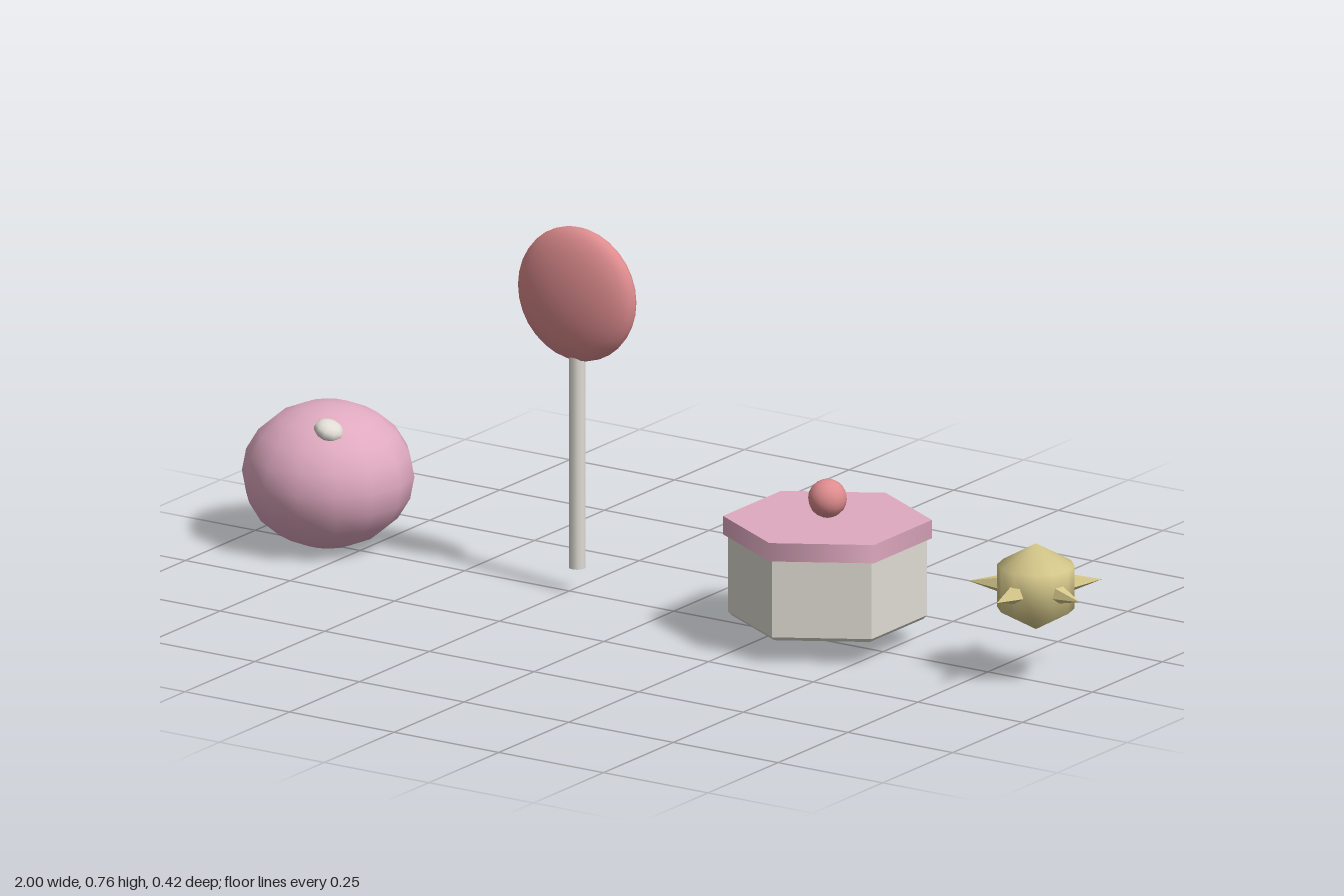
import * as THREE from 'three';

const mat = (name, color, extra = {}) => {
  const m = new THREE.MeshStandardMaterial({ color, ...extra });
  m.name = name;
  return m;
};

export function createModel() {
  const pink = mat('pink', 0xe0aac0);
  const rose = mat('rose', 0xde8c8e);
  const cream = mat('cream', 0xe0dcd4);
  const yellow = mat('yellow', 0xd8ca8c);

  const root = new THREE.Group();
  root.name = 'sweets';

  const group = (name, x) => {
    const g = new THREE.Group();
    g.name = name;
    g.position.x = x;
    root.add(g);
    return g;
  };
  const add = (parent, name, geo, material, x = 0, y = 0, z = 0) => {
    const m = new THREE.Mesh(geo, material);
    m.name = name;
    m.position.set(x, y, z);
    parent.add(m);
    return m;
  };

  // Round gumdrop with a small sugar pearl
  const drop = group('gumdrop', -0.826);
  add(drop, 'gumdropBody', new THREE.SphereGeometry(0.173, 14, 10), pink, 0, 0.15, 0)
    .scale.y = 0.85;
  const pearl = add(drop, 'sugarPearl', new THREE.SphereGeometry(0.031, 10, 8), cream, 0.054, 0.268, 0.078);
  pearl.scale.y = 0.65;
  pearl.rotation.z = -0.4;

  // Lollipop: flattened ball on a stick
  const lolly = group('lollipop', -0.231);
  add(lolly, 'lollipopHead', new THREE.SphereGeometry(0.138, 24, 16), rose, 0, 0.623, 0)
    .scale.z = 0.345;
  add(lolly, 'lollipopStick', new THREE.CylinderGeometry(0.017, 0.017, 0.445, 10), cream, 0, 0.2775, 0);

  // Hexagonal box with chamfered base, lid and knob
  const box = group('candyBox', 0.367);
  const flat = (geo) => {
    const g = geo.toNonIndexed();
    g.computeVertexNormals();
    return g;
  };
  add(box, 'boxBody', flat(new THREE.CylinderGeometry(0.198, 0.198, 0.162, 6)), cream, 0, 0.141, 0);
  add(box, 'boxBase', flat(new THREE.CylinderGeometry(0.198, 0.19, 0.008, 6)), cream, 0, 0.056, 0);
  add(box, 'boxLid', new THREE.CylinderGeometry(0.208, 0.208, 0.038, 6), pink, 0, 0.239, 0);
  add(box, 'lidKnob', new THREE.SphereGeometry(0.039, 14, 10), rose, 0, 0.299, 0);

  // Spiky candy: coarse ball with five spikes around the middle
  const star = group('spikyCandy', 0.865);
  add(star, 'candyCore', new THREE.SphereGeometry(0.089, 12, 3), yellow, 0, 0.2, 0);
  for (let i = 0; i < 5; i++) {
    const a = (i / 5) * Math.PI * 2;
    const spike = new THREE.ConeGeometry(0.021, 0.075, 5);
    spike.translate(0, 0.1025, 0);
    spike.rotateX(Math.PI / 2);
    spike.rotateY(a);
    add(star, 'spike', flat(spike), yellow, 0, 0.2, 0);
  }
  return root;
}
